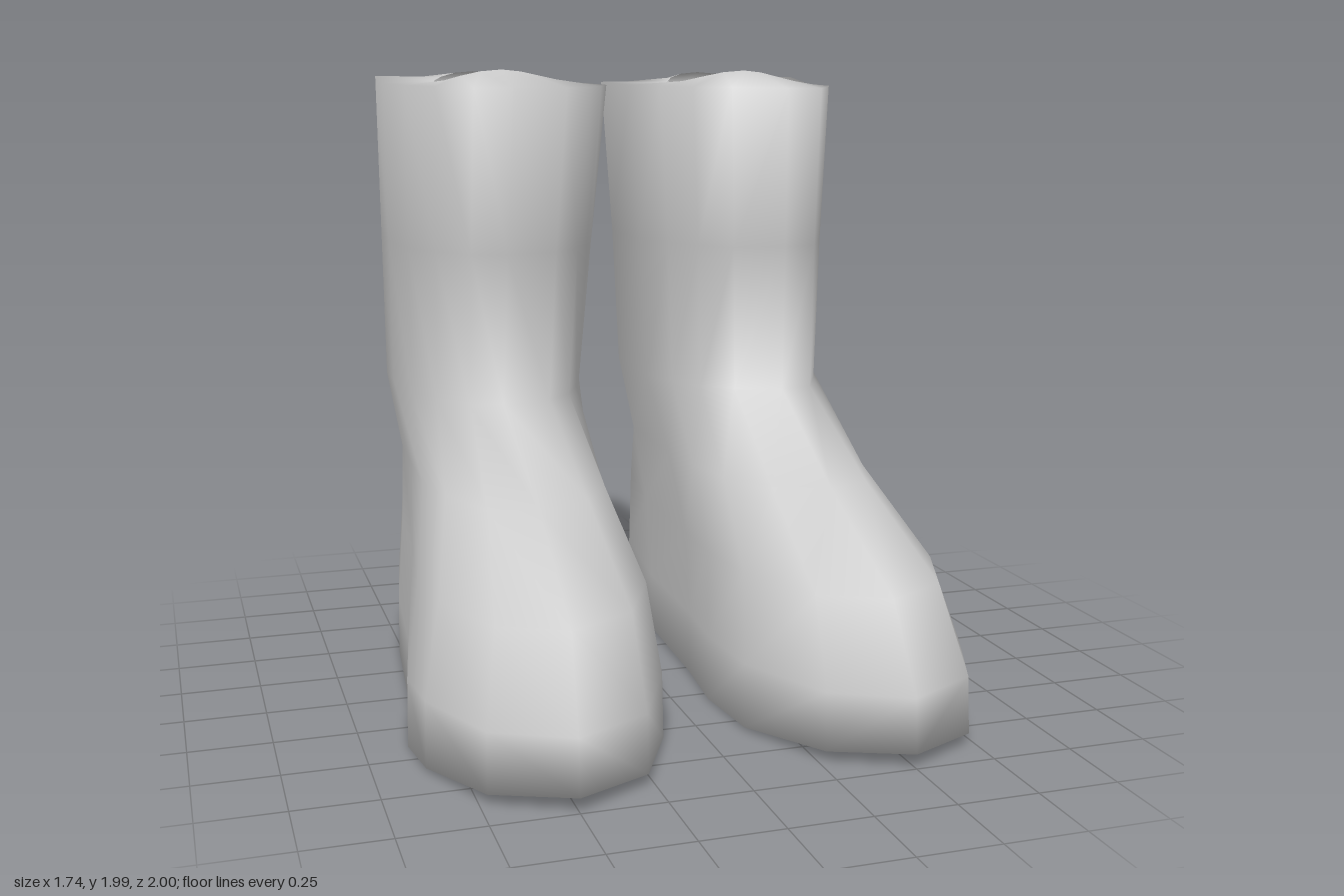
import * as THREE from 'three';

// Plan outlines [x, z] of the left boot, from the toe round the outer side and heel
const SOLE = [[0.5, 1], [0.73, 0.88], [0.85, 0.6], [0.87, 0.4], [0.81, 0.05], [0.77, -0.4], [0.7, -0.84], [0.59, -0.96],
  [0.41, -1], [0.3, -0.97], [0.2, -0.88], [0.14, -0.4], [0.13, 0.05], [0.11, 0.3], [0.13, 0.58], [0.27, 0.88]];
const CUFF = [[0.45, 0.08], [0.57, 0.06], [0.66, -0.1], [0.73, -0.25], [0.76, -0.5], [0.76, -0.67], [0.69, -0.86], [0.58, -0.87],
  [0.42, -0.87], [0.3, -0.86], [0.19, -0.84], [0.06, -0.75], [0.04, -0.33], [0.1, -0.18], [0.17, -0.05], [0.27, 0.04]];
const N = SOLE.length;
const lerp = THREE.MathUtils.lerp;

// Scale an outline to the unit square
function unit(outline) {
  const xs = outline.map(p => p[0]), zs = outline.map(p => p[1]);
  const x0 = Math.min(...xs), x1 = Math.max(...xs), z0 = Math.min(...zs), z1 = Math.max(...zs);
  return outline.map(([x, z]) => [(x - x0) / (x1 - x0), (z - z0) / (z1 - z0)]);
}
const FOOT_UNIT = unit(SOLE), CUFF_UNIT = unit(CUFF);

// Level slice with given limits; mix goes from foot shape (0) to cuff shape (1)
function slice(y, inner, outer, back, front, mix) {
  return FOOT_UNIT.map(([u, v], i) => [
    lerp(inner, outer, lerp(u, CUFF_UNIT[i][0], mix)), y,
    lerp(back, front, lerp(v, CUFF_UNIT[i][1], mix))]);
}

// Sole is lowest under the ball of the foot
const soleY = z => z > 0.45 ? 0.045 * (z - 0.45) / 0.55 : 0.03 * (0.45 - z) / 1.45;

function bootGeometry() {
  const rings = [
    // sole, inset and edge
    SOLE.map(([x, z]) => [lerp(0.47, x, 0.6), soleY(z * 0.6) + 0.005, z * 0.6]),
    SOLE.map(([x, z]) => [x, soleY(z), z]),
    // foot
    slice(0.21, 0.112, 0.866, -1, 0.99, 0),
    slice(0.47, 0.122, 0.815, -1, 0.86, 0.15),
    slice(0.7, 0.135, 0.75, -0.965, 0.43, 0.5),
    // shaft
    slice(0.94, 0.122, 0.743, -0.93, 0, 0.95),
    slice(1.42, 0.087, 0.75, -0.885, 0.03, 1),
    CUFF.map(([x, z], i) => [x, 1.93 + (0.08 - z) * 0.03 + (i === 5 ? 0.02 : 0), z]),
    // opening
    CUFF.map((_, i) => {
      const a = i / N * Math.PI * 2;
      return [0.415 + 0.175 * Math.sin(a), 1.97 + 0.02 * Math.cos(2 * a), -0.48 + 0.24 * Math.cos(a)];
    }),
  ];
  const position = rings.flat(2), index = [];
  for (let r = 0; r < rings.length - 1; r++) {
    for (let i = 0; i < N; i++) {
      const a = r * N + i, b = r * N + (i + 1) % N;
      index.push(a, b, b + N, a, b + N, a + N);
    }
  }
  // underside fan
  const centre = position.length / 3;
  position.push(0.47, 0.012, 0);
  for (let i = 0; i < N; i++) index.push(centre, (i + 1) % N, i);

  const geometry = new THREE.BufferGeometry();
  geometry.setAttribute('position', new THREE.Float32BufferAttribute(position, 3));
  geometry.setIndex(index);
  geometry.computeVertexNormals();
  return geometry;
}

export function createModel() {
  const model = new THREE.Group();
  model.name = 'pairOfBoots';
  const material = new THREE.MeshStandardMaterial({ color: 0xcccccc, side: THREE.DoubleSide });
  const geometry = bootGeometry();
  for (const [name, side] of [['leftBoot', 1], ['rightBoot', -1]]) {
    const boot = new THREE.Mesh(geometry, material);
    boot.name = name;
    boot.scale.x = side;
    model.add(boot);
  }
  return model;
}
